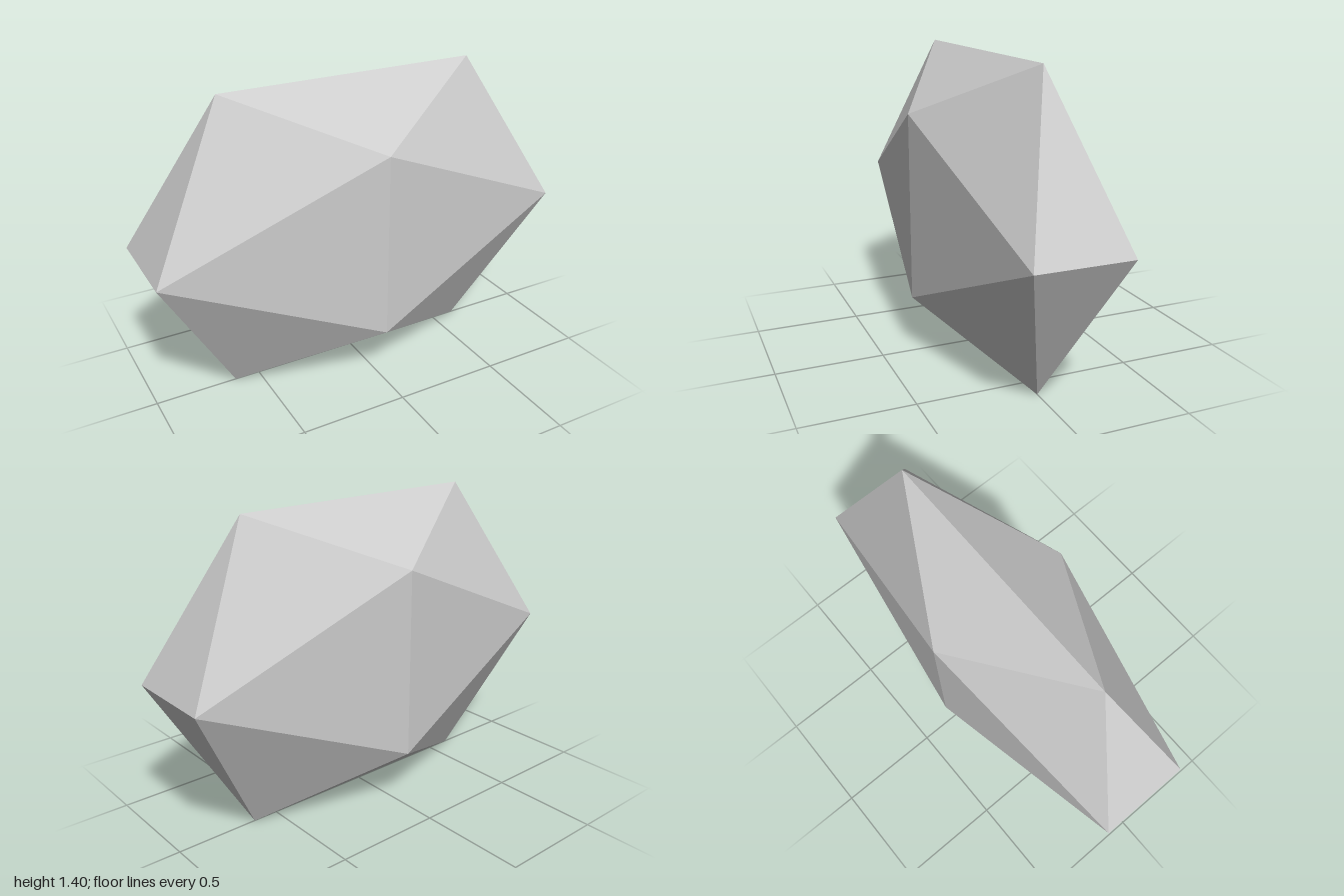
import * as THREE from 'three';

export function createModel() {
  const group = new THREE.Group();
  group.name = 'facetedStone';

  const stoneGrey = new THREE.MeshStandardMaterial({ color: 0xcccccc, flatShading: true });
  stoneGrey.name = 'stoneGrey';

  // Twenty-sided stone, flattened front to back and resting on its bottom edge
  const geometry = new THREE.IcosahedronGeometry(1, 0);
  geometry.computeBoundingBox();
  const unit = geometry.boundingBox.max.x;
  geometry.scale(1 / unit, 0.7 / unit, 0.35 / unit);
  geometry.translate(0, 0.7, 0);
  geometry.computeVertexNormals();

  const stone = new THREE.Mesh(geometry, stoneGrey);
  stone.name = 'stone';
  group.add(stone);
  return group;
}
